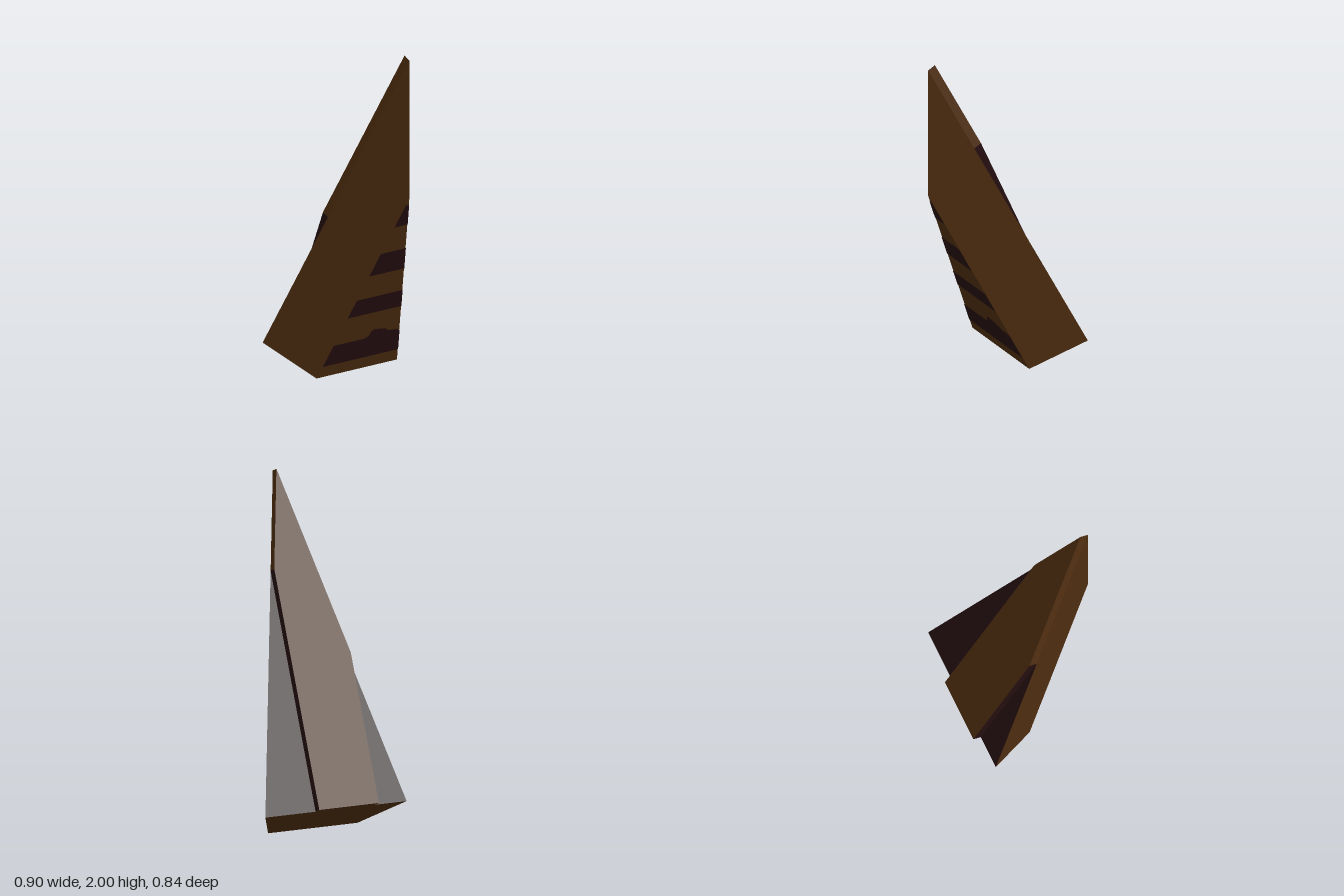
import * as THREE from 'three';

const brown = new THREE.MeshStandardMaterial({ color: 0x4d2d0f });
brown.name = 'brown';
const maroon = new THREE.MeshStandardMaterial({ color: 0x250e10 });
maroon.name = 'dark maroon';

// Flat-faced mesh from convex polygons, corners counter-clockwise from outside
function facesMesh(name, material, polygons) {
  const pos = [];
  for (const p of polygons)
    for (let i = 1; i < p.length - 1; i++) pos.push(...p[0], ...p[i], ...p[i + 1]);
  const geo = new THREE.BufferGeometry();
  geo.setAttribute('position', new THREE.Float32BufferAttribute(pos, 3));
  geo.computeVertexNormals();
  const mesh = new THREE.Mesh(geo, material);
  mesh.name = name;
  return mesh;
}

// Point on the sloping back: t runs from apex (0) to lower edge (1), lift is outward
const onBack = (x, t, lift = 0) => [x, 1.98 - 1.81 * t + 0.4 * lift, 0.42 - 0.79 * t - 0.917 * lift];

// Thin painted stripe laid on the sloping front triangle
const halfWidth = (y) => 0.285 * (1 - y / 1.16);
function stripe(bottom, top, wave = []) {
  const outline = [
    [-halfWidth(bottom), bottom], [halfWidth(bottom), bottom], [halfWidth(top), top],
    ...wave, [-halfWidth(top), top],
  ].map(([x, y]) => new THREE.Vector2(x, y));
  const geo = new THREE.ShapeGeometry(new THREE.Shape(outline));
  const p = geo.attributes.position;
  for (let i = 0; i < p.count; i++) p.setZ(i, -0.08 + (0.5 * p.getY(i)) / 1.16 + 0.003);
  geo.computeVertexNormals();
  const mesh = new THREE.Mesh(geo, maroon);
  mesh.name = 'frontStripe';
  return mesh;
}

export function createModel() {
  const model = new THREE.Group();
  model.name = 'leaningWedge';

  // Leaning wedge body
  const apex = onBack(0, 0);
  const nose = [0, 1.16, 0.42];
  const footL = [0.285, 0, -0.08], footR = [-0.285, 0, -0.08];
  const heelL = onBack(0.45, 1), heelR = onBack(-0.45, 1);
  model.add(facesMesh('body', brown, [
    [apex, nose, footL, heelL],
    [apex, heelR, footR, nose],
    [nose, footR, footL],
    [footL, footR, heelR, heelL],
  ]));
  model.add(facesMesh('backPanel', maroon, [[apex, heelL, heelR]]));

  // Raised strip on the back, off centre, with dark long sides
  const outline = [[0, 0], [0.13, 0.13 / 0.45], [0.13, 1], [-0.25, 1], [-0.25, 0.25 / 0.45]];
  const brownFaces = [outline.map(([x, t]) => onBack(x, t, 0.05))];
  const darkFaces = [];
  outline.forEach(([x0, t0], i) => {
    const [x1, t1] = outline[(i + 1) % outline.length];
    const side = [onBack(x1, t1, 0.05), onBack(x0, t0, 0.05), onBack(x0, t0), onBack(x1, t1)];
    (x0 === x1 ? darkFaces : brownFaces).push(side);
  });
  model.add(facesMesh('backStrip', brown, brownFaces));
  model.add(facesMesh('backStripSides', maroon, darkFaces));

  // Front stripes, the lowest with a wavy crest
  model.add(stripe(0.97, 1.11), stripe(0.655, 0.8), stripe(0.385, 0.5));
  model.add(stripe(0.075, 0.21, [
    [0.21, 0.225], [0.15, 0.23], [0.12, 0.25], [0.04, 0.262], [0.02, 0.25], [0.01, 0.22], [-0.02, 0.21],
  ]));
  return model;
}
